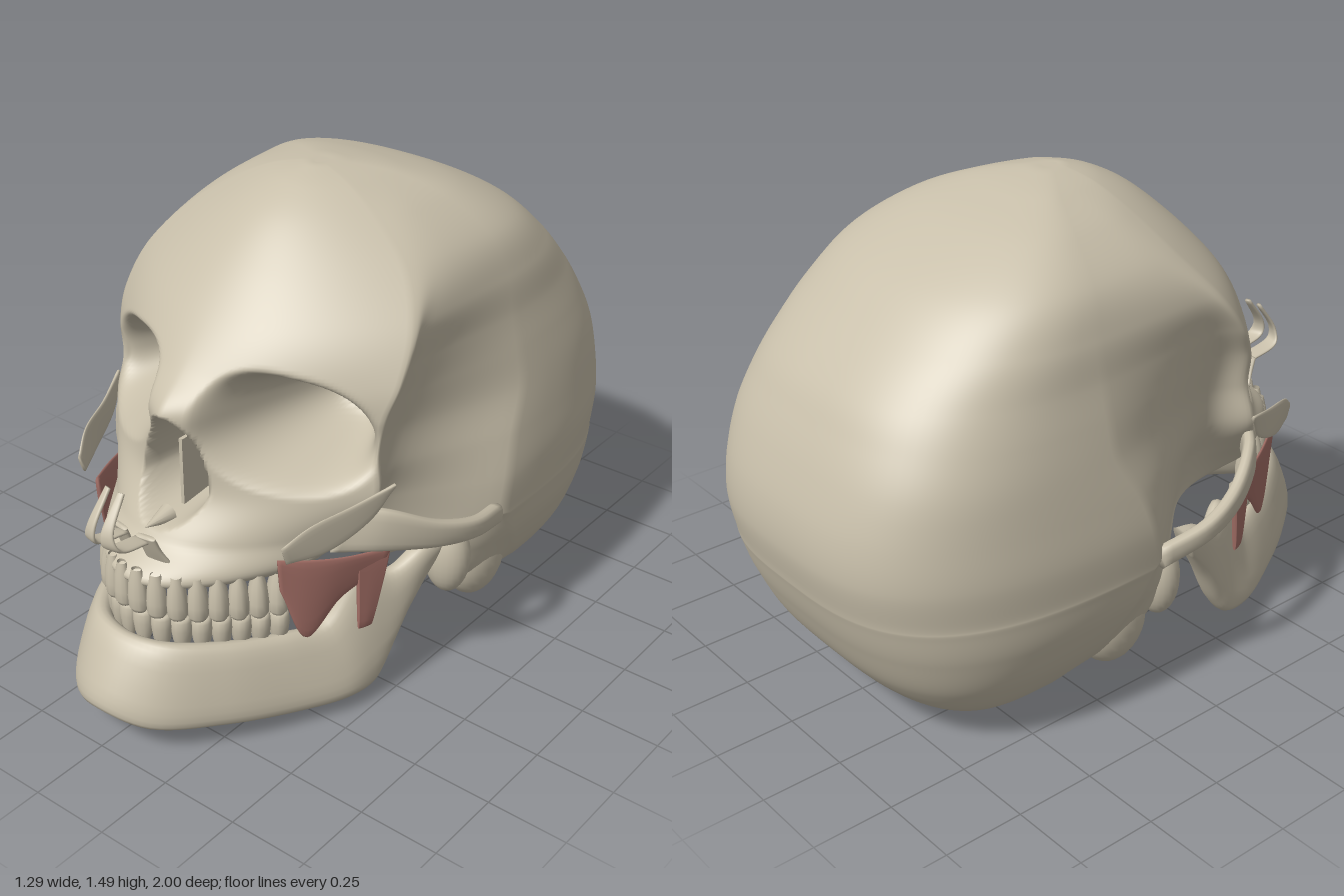
import * as THREE from 'three';

const bone = new THREE.MeshStandardMaterial({ color: 0xc8bfaa, side: THREE.DoubleSide });
bone.name = 'bone';
const muscle = new THREE.MeshStandardMaterial({ color: 0xa87269, side: THREE.DoubleSide });
muscle.name = 'muscle';

const { lerp, smoothstep } = THREE.MathUtils;
const V = (p) => new THREE.Vector3(...p);

// Smooth closed skin over rings of points; both ends are capped by a pole.
function skin(rings) {
  const pole = (ring) => {
    const c = new THREE.Vector3();
    ring.forEach((p) => c.addScaledVector(p, 1 / ring.length));
    return ring.map(() => c);
  };
  const all = [pole(rings[0]), ...rings, pole(rings[rings.length - 1])];
  const n = rings[0].length, index = [];
  for (let j = 0; j < all.length - 1; j++) {
    for (let i = 0; i < n; i++) {
      const k = (i + 1) % n;
      const a = j * n + i, b = j * n + k, c = a + n, d = b + n;
      index.push(a, b, d, a, d, c);
    }
  }
  const g = new THREE.BufferGeometry().setFromPoints(all.flat());
  g.setIndex(index);
  g.computeVertexNormals();
  return g;
}

// Rounded blade running between a lower and an upper edge curve.
function blade(lower, upper, thick, steps = 24, sides = 16) {
  const lo = new THREE.CatmullRomCurve3(lower.map(V));
  const hi = new THREE.CatmullRomCurve3(upper.map(V));
  const mid = (t) => lo.getPoint(t).lerp(hi.getPoint(t), 0.5);
  const rings = [];
  for (let j = 0; j <= steps; j++) {
    const t = j / steps;
    const along = mid(Math.min(1, t + 0.01)).sub(mid(Math.max(0, t - 0.01)));
    const h = hi.getPoint(t).sub(lo.getPoint(t));
    const n = along.cross(h).normalize();
    const ring = [];
    for (let i = 0; i < sides; i++) {
      const a = (i / sides) * Math.PI * 2, c = Math.cos(a), s = Math.sin(a);
      ring.push(mid(t)
        .addScaledVector(h, 0.5 * Math.sign(c) * Math.abs(c) ** 0.7)
        .addScaledVector(n, thick * Math.sign(s) * Math.abs(s) ** 0.7));
    }
    rings.push(ring);
  }
  return skin(rings);
}

// Horizontal outlines of the head from the base to the crown.
const OUTLINE = {
  y:          [0, .09, .21, .35, .455, .49, .60, .72, .85, .96, 1.06, 1.18, 1.30, 1.40, 1.46, 1.487, 1.49],
  front:      [-.40, -.32, -.17, 0, .2, .83, .755, .67, .685, .70, .60, .49, .37, .25, .14, .05, .01],
  edgeX:      [.12, .2, .25, .27, .25, .33, .42, .5, .485, .5, .515, .49, .40, .265, .15, .053, .01],
  edgeZ:      [-.40, -.31, -.13, .03, .2, .5, .42, .37, .35, .34, .29, .21, .12, .07, .04, .015, 0],
  templeX:    [.2, .36, .49, .49, .42, .37, .38, .42, .44, .46, .48, .49, .435, .308, .174, .062, .011],
  templeZ:    [-.41, -.30, -.09, .02, .12, .2, .22, .22, .2, .2, .17, .1, .0, -.03, -.04, -.02, -.01],
  wideX:      [.27, .44, .54, .6, .62, .622, .622, .605, .58, .555, .53, .505, .45, .325, .185, .065, .012],
  wideZ:      [-.45, -.43, -.33, -.22, -.16, -.14, -.16, -.2, -.27, -.28, -.28, -.28, -.25, -.2, -.13, -.05, -.02],
  back:       [-.56, -.75, -.865, -.935, -.972, -.981, -1, -.99, -.95, -.9, -.84, -.73, -.59, -.4, -.22, -.09, -.03],
};

function spline(list, s) {
  const i = Math.min(Math.floor(s), list.length - 2), f = s - i;
  const p = (k) => list[Math.max(0, Math.min(list.length - 1, k))];
  const a = p(i - 1), b = p(i), c = p(i + 1), d = p(i + 2);
  return b + 0.5 * f * (c - a + f * (2 * a - 5 * b + 4 * c - d + f * (3 * (b - c) + d - a)));
}

// Eye sockets and nose opening pressed into the face.
function pressFace(x, y, z) {
  const dx = x - 0.288, dy = y - 0.912 + 0.2 * dx;
  const eye = (Math.abs(dx / 0.215) ** 2.5 + Math.abs(dy / 0.168) ** 2.5) ** 0.4;
  z = lerp(z, Math.min(z, 0.17), 1 - smoothstep(eye, 0.3, 1.02));
  const w = Math.max(0.05, 0.125 - 0.25 * Math.max(0, y - 0.72));
  const nose = ((x / w) ** 2.2 + Math.abs((y - 0.785) / 0.16) ** 2.2) ** 0.45;
  return lerp(z, Math.min(z, 0.42), 1 - smoothstep(nose, 0.72, 1.06));
}

function headGeometry() {
  const rings = [], spans = OUTLINE.y.length - 1, per = 13;
  for (let j = 0; j <= spans * per; j++) {
    const o = {};
    for (const key in OUTLINE) o[key] = spline(OUTLINE[key], j / per);
    const y = o.y, half = [];
    // face, from the middle to the outer eye rim
    const p = 2 - 0.85 * Math.exp(-(((y - 0.92) / 0.16) ** 2));
    const faceZ = (u) => o.front - (o.front - o.edgeZ) * u ** p;
    for (let i = 0; i < 50; i++) {
      const u = i / 50, x = o.edgeX * u;
      half.push([x, pressFace(x, y, faceZ(u))]);
    }
    // temple, from the eye rim to the widest point
    const sideX = [o.edgeX * 0.8, o.edgeX, o.templeX, o.wideX, o.wideX];
    const sideZ = [faceZ(0.8), o.edgeZ, o.templeZ, o.wideZ, lerp(o.wideZ, o.back, 0.4)];
    for (let i = 0; i < 20; i++) half.push([spline(sideX, 1 + i / 10), spline(sideZ, 1 + i / 10)]);
    // back of the head
    const e = 2 / (3.1 - 0.8 * smoothstep(y, 0.8, 1.4));
    for (let i = 0; i <= 24; i++) {
      const a = (i / 24) * Math.PI / 2;
      half.push([o.wideX * Math.max(0, Math.cos(a)) ** e, lerp(o.wideZ, o.back, Math.sin(a) ** e)]);
    }
    const other = half.slice(1, -1).reverse().map(([x, z]) => [-x, z]);
    rings.push([...half, ...other].map(([x, z]) => new THREE.Vector3(x, y, z)));
  }
  return skin(rings);
}

export function createModel() {
  const model = new THREE.Group();
  model.name = 'skull';
  const add = (name, geometry, material = bone, pos = [0, 0, 0], scale = [1, 1, 1]) => {
    const m = new THREE.Mesh(geometry, material);
    m.name = name;
    m.position.set(...pos);
    m.scale.set(...scale);
    model.add(m);
    return m;
  };
  add('cranium', headGeometry());
  add('nasalSeptum', new THREE.BoxGeometry(0.012, 0.22, 0.22), bone, [0, 0.74, 0.51]);
  add('nasalSpine', new THREE.ConeGeometry(0.03, 0.1, 12), bone, [0, 0.635, 0.73]).rotation.x = Math.PI / 2;

  // Lower jaw: one blade from joint to joint through the chin
  const jawLow = [[.13, .09, .935], [.27, .07, .765], [.38, .05, .57], [.45, .045, .42],
    [.465, .055, .32], [.465, .12, .26], [.47, .25, .19], [.48, .36, .12]];
  const jawTop = [[.12, .33, .835], [.23, .31, .71], [.31, .29, .56], [.36, .29, .44],
    [.40, .43, .33], [.45, .40, .24], [.49, .45, .14], [.50, .46, .07]];
  const flip = (list) => list.map(([x, y, z]) => [-x, y, z]);
  const through = (list, mid) => [...flip(list).reverse(), mid, ...list];
  add('lowerJaw', blade(through(jawLow, [0, .12, .985]), through(jawTop, [0, .33, .865]), 0.038, 110, 24));

  // Tooth rows
  const tooth = new THREE.LatheGeometry([[0, 0], [.7, .01], [.95, .1], [1, .35], [.85, .7], [.5, 1]]
    .map(([x, y]) => new THREE.Vector2(x, y)), 12);
  const rows = [
    { name: 'upperTooth', w: .315, z: .85, gum: .55, tip: .41, dir: 1 },
    { name: 'lowerTooth', w: .305, z: .835, gum: .295, tip: .405, dir: -1 },
  ];
  for (const row of rows) {
    const pts = [];
    for (let i = -8; i <= 8; i++) {
      const s = i / 8;
      pts.push(new THREE.Vector3(row.w * s, 0, row.z - 0.31 * s * s));
    }
    const arch = new THREE.CatmullRomCurve3(pts);
    for (let i = 0; i < 16; i++) {
      const t = (i + 0.5) / 16, p = arch.getPointAt(t), d = arch.getTangentAt(t);
      const back = Math.abs(t - 0.5) * 2;
      const m = add(row.name, tooth, bone, [p.x, row.tip - 0.045 * back, p.z],
        [0.031, row.dir * Math.abs(row.gum - row.tip), lerp(0.022, 0.04, back)]);
      m.rotation.y = Math.atan2(-d.z, d.x);
    }
  }

  for (const side of [1, -1]) {
    const tag = side > 0 ? 'left' : 'right';
    const pair = (name, low, top, thick, material) =>
      add(tag + name, side > 0 ? blade(low, top, thick) : blade(flip(low), flip(top), thick), material);
    const lump = (name, [x, y, z], scale) =>
      add(tag + name, new THREE.SphereGeometry(1, 24, 16), bone, [side * x, y, z], scale);

    pair('CheekArch',
      [[.40, .55, .45], [.50, .55, .36], [.59, .52, .2], [.62, .49, .06], [.60, .45, -.1]],
      [[.44, .70, .40], [.52, .68, .33], [.595, .61, .2], [.625, .56, .06], [.60, .52, -.1]], 0.022);
    pair('CheekPlate',
      [[.39, .60, .63], [.45, .61, .52], [.50, .67, .39], [.53, .755, .33]],
      [[.39, .66, .65], [.43, .71, .58], [.48, .735, .45], [.535, .77, .33]], 0.006);

    // Bony knobs behind the jaw joint
    lump('Mastoid', [.475, .26, -.18], [.085, .15, .12]);
    lump('EarKnob', [.49, .34, -.01], [.075, .13, .065]);
    lump('SkullBaseKnob', [.15, .2, -.2], [.07, .08, .12]);
    pair('PalateWing', [[.15, .33, .36], [.2, .34, .26]], [[.15, .52, .42], [.2, .5, .2]], 0.015);

    // Chewing muscle
    pair('MuscleSheet',
      [[.35, .48, .61], [.39, .30, .54], [.43, .40, .44], [.48, .46, .33]],
      [[.35, .59, .62], [.40, .57, .54], [.45, .55, .44], [.50, .53, .30]], 0.008, muscle);
    pair('MuscleStrand',
      [[.455, .27, .385], [.465, .27, .365], [.47, .27, .345]],
      [[.46, .54, .40], [.48, .53, .35], [.50, .53, .30]], 0.008, muscle);

    // Loose nose cartilage in front of the opening
    pair('NoseHook',
      [[.015, .81, .885], [.012, .71, .955], [.012, .67, .95], [.012, .64, .83]],
      [[.035, .81, .88], [.05, .71, .945], [.065, .665, .935], [.06, .63, .82]], 0.006);
    pair('NoseWing',
      [[.018, .65, .83], [.02, .60, .81], [.02, .55, .79]],
      [[.08, .65, .82], [.085, .60, .80], [.10, .55, .775]], 0.008);
  }
  return model;
}
